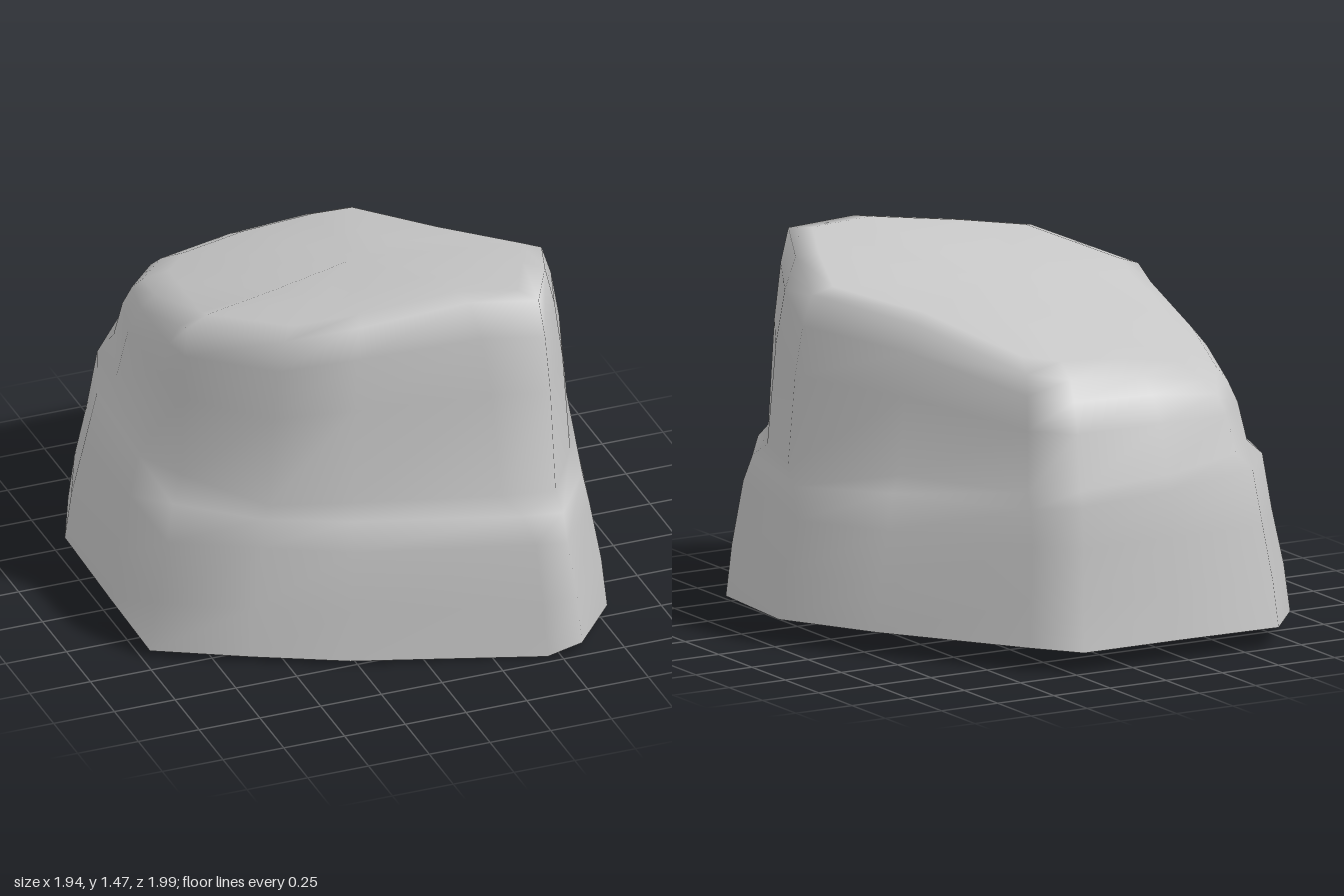
import * as THREE from 'three';

// Outlines run from the left end of the front, along the front, then round the back: [x, y, z]
const base = [
  [-0.97, 0.03, 0.41], [-0.62, 0.02, 0.58], [-0.28, 0.02, 0.75], [0.45, 0, 0.96], [0.58, 0.05, 0.99],
  [0.79, 0.03, 0.72], [0.97, 0.1, 0.02], [0.74, 0.09, -0.32], [0.37, 0.09, -0.85], [0.21, 0.08, -0.99],
  [-0.22, 0.08, -0.99], [-0.65, 0.08, -1], [-0.85, 0.07, -0.75], [-0.97, 0.06, -0.48], [-0.97, 0.04, 0],
];
const waist = [
  [-0.77, 0.67, 0.23], [-0.54, 0.66, 0.56], [-0.23, 0.66, 0.66], [0.32, 0.65, 0.8], [0.53, 0.65, 0.84],
  [0.7, 0.65, 0.56], [0.84, 0.66, 0.17], [0.6, 0.68, -0.26], [0.33, 0.68, -0.77], [0.19, 0.7, -0.93],
  [-0.2, 0.72, -0.93], [-0.52, 0.76, -0.9], [-0.67, 0.76, -0.73], [-0.77, 0.74, -0.45], [-0.78, 0.7, -0.05],
];
const rim = [
  [-0.72, 1.27, 0.17], [-0.48, 1.37, 0.57], [-0.2, 1.41, 0.64], [0.23, 1.465, 0.7], [0.5, 1.44, 0.74],
  [0.64, 1.4, 0.45], [0.74, 1.32, 0.16], [0.5, 1.25, -0.22], [0.3, 1.13, -0.71], [0.14, 1.1, -0.77],
  [-0.18, 1.08, -0.77], [-0.46, 1.03, -0.77], [-0.59, 1.04, -0.63], [-0.65, 1.13, -0.35], [-0.71, 1.22, 0.06],
];
const crownCentre = [0.05, 1.335, 0];
const mix = THREE.MathUtils.lerp;

function rockGeometry() {
  // Lower block, tapering to a worn ledge
  const shoulder = base.map(([x, , z]) => [x * 0.92, 0.48, z * 0.968]);
  const belly = base.map(([x, y, z]) => [x * 0.975, mix(y, 0.48, 0.45), z * 0.985]);
  const ledge = waist.map(([x, y, z], i) => [mix(x, shoulder[i][0], 0.62), y - 0.06, mix(z, shoulder[i][2], 0.62)]);
  // Upper block, rising from the ledge to the rim
  const wall = (t, u) => waist.map((p, i) => [mix(p[0], rim[i][0], t), mix(p[1], rim[i][1], u), mix(p[2], rim[i][2], t)]);
  // Sloping crown between the rim and its centre
  const crown = (s, rise) => rim.map((p) => p.map((v, k) => mix(crownCentre[k], v, s) + (k === 1 ? rise : 0)));
  const rings = [base, belly, shoulder, ledge, waist, wall(0.3, 0.53), wall(0.62, 0.82), rim, crown(0.88, 0.025), crown(0.5, 0.01)];

  const n = base.length;
  const index = [];
  const last = (rings.length - 1) * n;
  const under = rings.length * n;
  const top = under + n;
  for (let i = 0; i < n; i++) {
    const j = (i + 1) % n;
    for (let r = 0; r < last; r += n) {
      index.push(r + i, r + j, r + n + j, r + i, r + n + j, r + n + i);
    }
    index.push(last + i, last + j, top); // crown
    index.push(under + j, under + i, top + 1); // underside, with its own sharp edge
  }

  const points = [...rings.flat(), ...base, crownCentre, [0, 0.045, 0]];
  const geometry = new THREE.BufferGeometry();
  geometry.setAttribute('position', new THREE.Float32BufferAttribute(points.flat(), 3));
  geometry.setIndex(index);
  geometry.computeVertexNormals();
  return geometry;
}

export function createModel() {
  const stone = new THREE.MeshStandardMaterial({ color: 0xc6c6c6 });
  stone.name = 'greyStone';
  const rock = new THREE.Mesh(rockGeometry(), stone);
  rock.name = 'rock';
  const group = new THREE.Group();
  group.name = 'boulder';
  group.add(rock);
  return group;
}
